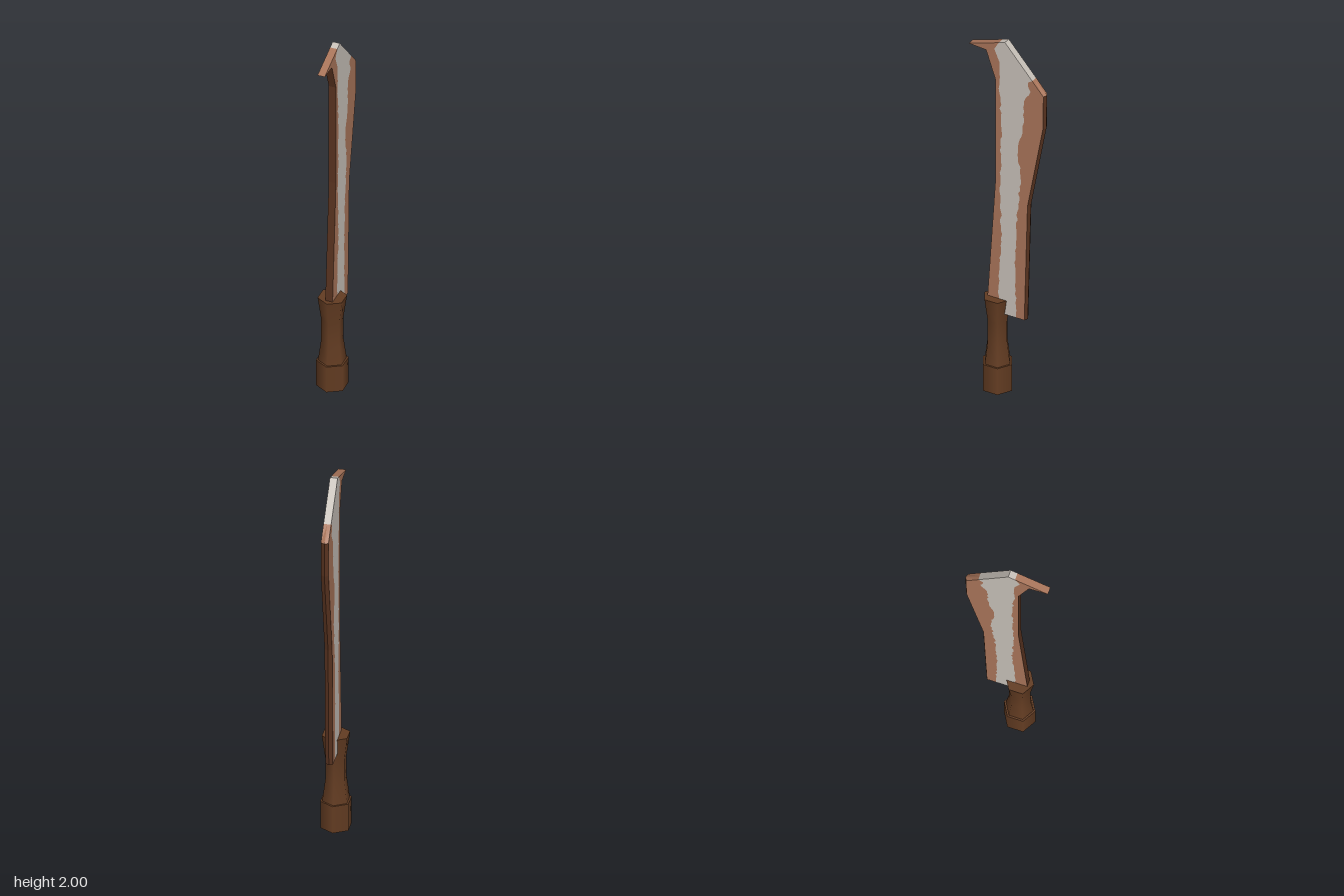
import * as THREE from 'three';

const mat = (name, color, side = THREE.FrontSide) => {
  const m = new THREE.MeshStandardMaterial({ color, side });
  m.name = name;
  return m;
};

export function createModel() {
  const steel = mat('worn steel', 0xc6bfb7);
  const rust = mat('rust', 0xa87459);
  const darkRust = mat('dark rust', 0x57321f);
  const wood = mat('dark wood', 0x633c22);

  const model = new THREE.Group();
  model.name = 'machete';
  const add = (parent, name, geo, material) => {
    const mesh = new THREE.Mesh(geo, material);
    mesh.name = name;
    parent.add(mesh);
    return mesh;
  };

  // Six-sided handle, corners pointing forward and back
  const handle = new THREE.Group();
  handle.name = 'handle';
  handle.position.z = 0.063;
  model.add(handle);
  add(handle, 'pommel', new THREE.CylinderGeometry(0.081, 0.081, 0.15, 6), wood).position.y = 0.075;
  const gripProfile = [[0.071, 0.15], [0.055, 0.27], [0.055, 0.39], [0.073, 0.52]];
  add(handle, 'grip', new THREE.LatheGeometry(gripProfile.map(p => new THREE.Vector2(...p)), 6), wood);
  const cap = add(handle, 'gripTop', new THREE.CircleGeometry(0.073, 6, Math.PI / 2), wood);
  cap.rotation.x = -Math.PI / 2;
  cap.position.y = 0.52;

  // Blade, drawn as [z, y] points
  const blade = new THREE.Group();
  blade.name = 'blade';
  model.add(blade);
  const half = 0.019;
  const bevel = 0.009;

  let seed = 7;
  const random = () => (seed = (seed * 16807) % 2147483647) / 2147483647;
  // Ragged rust border following a few key points
  const ragged = keys => {
    const out = [keys[0]];
    for (let i = 1; i < keys.length; i++) {
      const [z0, y0] = keys[i - 1], [z1, y1] = keys[i];
      const n = Math.max(1, Math.round((y1 - y0) / 0.022));
      for (let k = 1; k < n; k++) {
        const t = k / n;
        out.push([z0 + (z1 - z0) * t + (random() - 0.5) * 0.013, y0 + (y1 - y0) * t]);
      }
      out.push(keys[i]);
    }
    return out;
  };

  const peak = [0.01, 2.0];
  const tip = [0.215, 1.932];
  const spine = [[0.09, 0.44], [0.108, 0.52], [0.063, 1.2], [0.063, 1.77], [0.117, 1.925], tip];
  const edge = [[-0.208, 1.755], [-0.206, 1.57], [-0.118, 1.1], [-0.1, 0.44]];
  const frontBorder = ragged([[0.05, 0.44], [0.045, 0.6], [0.03, 0.85], [0.036, 1.2], [0.03, 1.5],
    [0.042, 1.77], [0.042, 1.88]]).concat([[0.07, 1.945], [0.045, 1.988]]);
  const backBorder = ragged([[-0.053, 0.44], [-0.05, 0.8], [-0.06, 1.05], [-0.08, 1.24], [-0.065, 1.4],
    [-0.09, 1.55], [-0.1, 1.7], [-0.135, 1.76], [-0.12, 1.81]]).concat([[-0.145, 1.826]]);
  const rev = a => [...a].reverse();

  // Flat faces, mirrored to both sides
  const regions = [
    ['spineRust', [...spine, ...rev(frontBorder)], rust],
    ['steelFace', [...frontBorder, peak, ...rev(backBorder)], steel],
    ['edgeRust', [...backBorder, ...edge], rust],
  ];
  for (const s of [1, -1]) {
    const side = new THREE.Group();
    side.name = s > 0 ? 'rightFaces' : 'leftFaces';
    side.scale.x = s;
    blade.add(side);
    for (const [name, pts, m] of regions) {
      const geo = new THREE.ShapeGeometry(new THREE.Shape(pts.map(p => new THREE.Vector2(...p))));
      geo.rotateY(-Math.PI / 2);
      add(side, name, geo, m).position.x = -half;
    }
  }

  // Rim across the thickness; the third value pushes the middle out to a ridge
  const rim = (name, pts, m) => {
    const pos = [];
    const at = ([z, y, push = 0], c) => [c * half, y, z - (c === 0 ? push : 0)];
    for (let i = 1; i < pts.length; i++) {
      const a = pts[i - 1], b = pts[i];
      for (const c of [-1, 0]) {
        pos.push(...at(a, c), ...at(a, c + 1), ...at(b, c + 1));
        pos.push(...at(a, c), ...at(b, c + 1), ...at(b, c));
      }
    }
    const geo = new THREE.BufferGeometry();
    geo.setAttribute('position', new THREE.Float32BufferAttribute(pos, 3));
    geo.computeVertexNormals();
    add(blade, name, geo, m);
  };
  const ridged = edge.map(p => [...p, bevel]);
  rim('spineRim', spine, darkRust);
  rim('hookTop', [tip, [0.045, 1.988]], rust);
  rim('steelTop', [[0.045, 1.988], peak, [-0.145, 1.826]], steel);
  rim('rustyTop', [[-0.145, 1.826], ridged[0]], rust);
  rim('cuttingEdge', ridged, darkRust);
  rim('rustyHeel', [ridged[3], [-0.053, 0.44]], rust);
  rim('steelHeel', [[-0.053, 0.44], [0.05, 0.44]], steel);
  rim('innerHeel', [[0.05, 0.44], [0.09, 0.44]], rust);

  return model;
}
